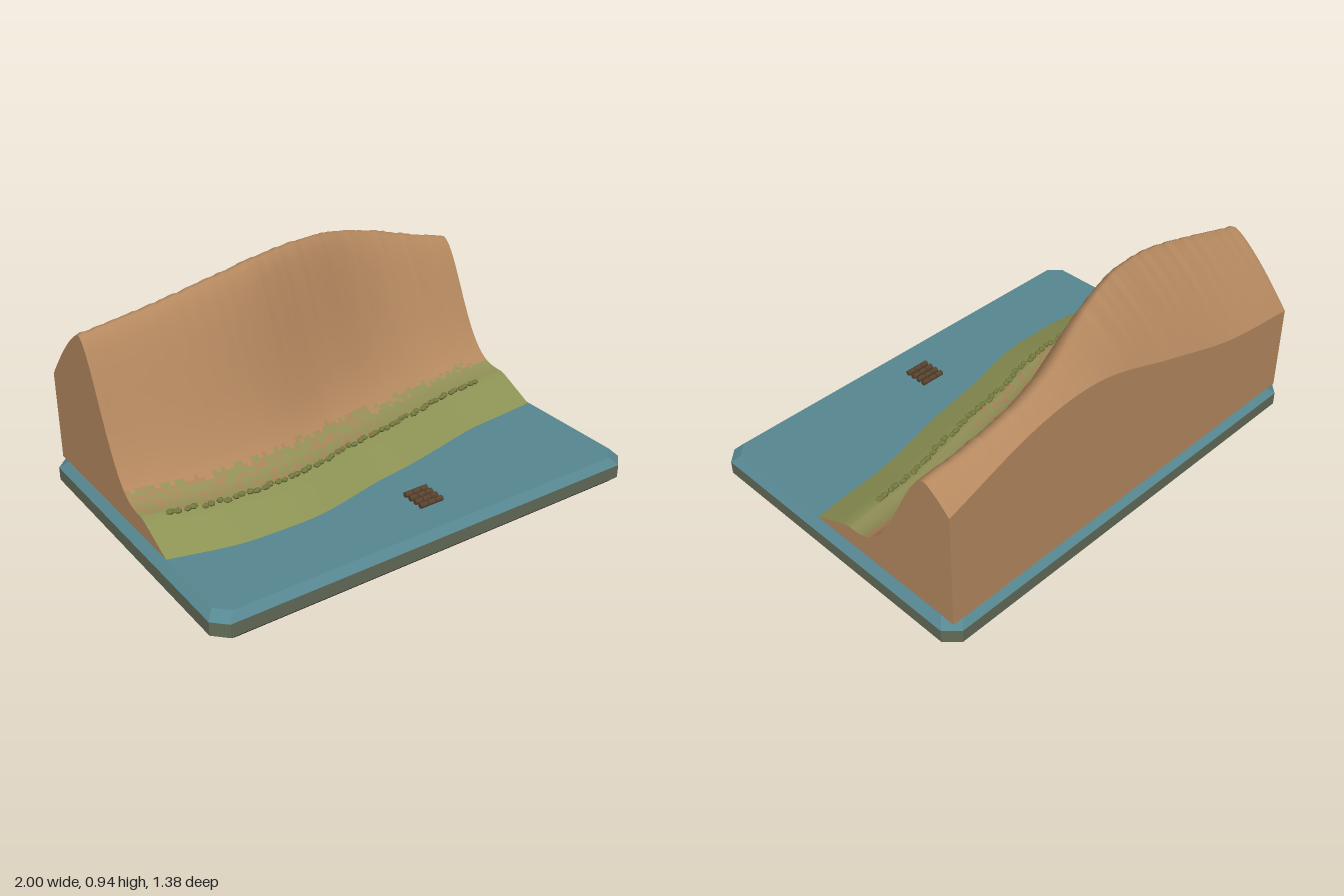
import * as THREE from 'three';
import { mergeGeometries } from 'three/addons/utils/BufferGeometryUtils.js';

const mat = (name, color) => {
  const m = new THREE.MeshStandardMaterial({ color });
  m.name = name;
  return m;
};

// Smooth interpolation through [x, value] pairs
function curve(pts) {
  return x => {
    let i = 0;
    while (i < pts.length - 2 && x > pts[i + 1][0]) i++;
    const slope = k => {
      const a = pts[Math.max(0, k - 1)], b = pts[Math.min(pts.length - 1, k + 1)];
      return (b[1] - a[1]) / (b[0] - a[0]);
    };
    const [x0, y0] = pts[i], [x1, y1] = pts[i + 1], h = x1 - x0, t = (x - x0) / h;
    const t2 = t * t, t3 = t2 * t;
    return (2 * t3 - 3 * t2 + 1) * y0 + (t3 - 2 * t2 + t) * h * slope(i)
      + (3 * t2 - 2 * t3) * y1 + (t3 - t2) * h * slope(i + 1);
  };
}

function seeded(seed) {
  let s = seed;
  return () => (s = (s * 16807) % 2147483647) / 2147483647;
}

// Flat-shaded geometry from counter-clockwise quads of [x, y, z] corners
function fromQuads(quads) {
  const g = new THREE.BufferGeometry();
  const p = quads.flatMap(([a, b, c, d]) => [...a, ...b, ...c, ...a, ...c, ...d]);
  g.setAttribute('position', new THREE.Float32BufferAttribute(p, 3));
  g.computeVertexNormals();
  return g;
}

// Lie of the land along x
const W = 0.965, BACK = -0.665, GROUND = 0.117, BEACH = 0.205;
const shore = curve([[-W, 0.265], [-0.7, 0.33], [-0.5, 0.343], [-0.3, 0.335], [0, 0.268],
  [0.2, 0.235], [0.4, 0.19], [0.6, 0.145], [0.8, 0.125], [W, 0.108]]);
const crestZ = curve([[-W, -0.37], [-0.7, -0.34], [-0.45, -0.33], [-0.2, -0.365], [0.1, -0.46],
  [0.35, -0.55], [0.55, -0.58], [0.75, -0.57], [W, -0.545]]);
const crestY = curve([[-W, 0.798], [-0.8, 0.83], [-0.6, 0.873], [-0.4, 0.91], [-0.2, 0.932],
  [0, 0.93], [0.2, 0.908], [0.4, 0.868], [0.6, 0.82], [0.8, 0.765], [W, 0.725]]);
const backY = curve([[-W, 0.51], [-0.58, 0.56], [-0.18, 0.68], [0.21, 0.8], [0.53, 0.785], [W, 0.64]]);

export function createModel() {
  const model = new THREE.Group();
  const water = mat('water teal', 0x568791);
  const rim = mat('rim grey green', 0x626b58);
  const under = mat('underside brown', 0x47392c);
  const sand = mat('bluff tan', 0xb4885f);
  const grass = mat('beach olive', 0x8d9254);
  const moss = mat('moss green', 0x929057);
  const clay = mat('clay rose', 0xa98259);
  const shrub = mat('shrub green', 0x74783f);
  const wood = mat('dark wood', 0x59432f);
  const add = (name, geo, material, parent = model) => {
    const m = new THREE.Mesh(geo, material);
    m.name = name;
    parent.add(m);
    return m;
  };

  // Base plate: chamfered slab in three bands
  const ring = (inset, y) => {
    const x = 1 - inset, z = 0.69 - inset, c = 0.055;
    return [[x, z - c], [x, c - z], [x - c, -z], [c - x, -z], [-x, c - z], [-x, z - c], [c - x, z], [x - c, z]]
      .map(([a, b]) => [a, y, b]);
  };
  const band = (a, b) => a.map((p, i) => [p, a[(i + 1) % 8], b[(i + 1) % 8], b[i]]);
  const cap = r => r.map((p, i) => [[0, p[1], 0], p, r[(i + 1) % 8], [0, p[1], 0]]);
  const bottom = ring(0.03, 0), low = ring(0, 0.03), high = ring(0, 0.088), top = ring(0.03, 0.12);
  add('baseUnderside', fromQuads([...cap(bottom.slice().reverse()), ...band(bottom, low)]), under);
  add('baseRim', fromQuads(band(low, high)), rim);
  add('waterTop', fromQuads([...band(high, top), ...cap(top)]), water);

  // Terrain surface: beach, bluff face and back slope for each column
  const NX = 100, NB = 6, NF = 36, NK = 12, rows = NB + NF + NK;
  const rnd = seeded(7);
  const grid = [];
  for (let i = 0; i <= NX; i++) {
    const x = -W + (2 * W * i) / NX, s = shore(x), foot = s - 0.2, cz = crestZ(x);
    const cy = crestY(x) + (rnd() - 0.5) * 0.007;
    const col = [];
    for (let j = 0; j <= rows; j++) {
      let y, z;
      if (j <= NB) {
        z = s + (foot - s) * (j / NB);
        y = GROUND + (BEACH - GROUND) * Math.min(1, (j / NB) * 1.06);
      } else if (j <= NB + NF) {
        const t = (j - NB) / NF, k = t ** 1.5;
        z = foot + (cz - foot) * t;
        y = BEACH + (cy - BEACH) * k * k * (3 - 2 * k);
      } else {
        const u = (j - NB - NF) / NK;
        z = cz + (BACK - cz) * u;
        y = cy - (cy - backY(x)) * u ** 1.3;
      }
      col.push([x, y, z]);
    }
    grid.push(col);
  }
  const faces = [[], [], [], []];
  for (let i = 0; i < NX; i++) {
    for (let j = 0; j < rows; j++) {
      const [x, y] = grid[i][j], a = i * (rows + 1) + j, b = a + rows + 1;
      const limit = (x < 0.2 ? 0.242 : 0.222) + (rnd() - 0.5) * 0.02;
      let kind = 0;
      if (j < NB) kind = 1;
      else if (j < NB + NF && y < limit) kind = x < 0.2 && rnd() < 0.3 ? 3 : 2;
      faces[kind].push(a, b, b + 1, a, b + 1, a + 1);
    }
  }
  const land = new THREE.BufferGeometry();
  land.setAttribute('position', new THREE.Float32BufferAttribute(grid.flat(2), 3));
  land.setIndex(faces.flat());
  let start = 0;
  faces.forEach((f, k) => {
    land.addGroup(start, f.length, k);
    start += f.length;
  });
  land.computeVertexNormals();
  add('bluffSurface', land, [sand, grass, moss, clay]);

  // Cut walls on both sides and the back
  const floor = p => [p[0], GROUND, p[2]];
  const walls = [];
  for (let j = 0; j < rows; j++) {
    const [r0, r1, l0, l1] = [grid[NX][j], grid[NX][j + 1], grid[0][j], grid[0][j + 1]];
    walls.push([floor(r0), floor(r1), r1, r0], [floor(l1), floor(l0), l0, l1]);
  }
  for (let i = 0; i < NX; i++) {
    const p = grid[i][rows], q = grid[i + 1][rows];
    walls.push([floor(q), floor(p), p, q]);
  }
  add('bluffWalls', fromQuads(walls), sand);

  // Row of low shrubs along the top of the beach
  const lumps = [];
  for (let n = 0; n < 26; n++) {
    const x = -0.845 + n * 0.0648;
    for (const side of [-1, 1]) {
      const g = new THREE.IcosahedronGeometry(1, 0);
      g.rotateY(rnd() * 3);
      g.scale(0.016 + rnd() * 0.005, 0.012, 0.012 + rnd() * 0.004);
      const lx = x + side * 0.013;
      g.translate(lx, 0.21, shore(lx) - 0.188 + (rnd() - 0.5) * 0.016);
      lumps.push(g);
    }
  }
  add('shrubRow', mergeGeometries(lumps), shrub);

  // Raft of small floats on the water: four rows of three
  const floats = [];
  for (let r = 0; r < 4; r++) {
    for (let c = 0; c < 3; c++) {
      const g = new THREE.CylinderGeometry(0.012, 0.012, 0.034, 8).toNonIndexed();
      g.rotateZ(Math.PI / 2);
      g.translate(0.037 + c * 0.038, 0.131, 0.42 + r * 0.0325);
      g.computeVertexNormals();
      floats.push(g);
    }
  }
  add('floats', mergeGeometries(floats), wood);

  return model;
}
